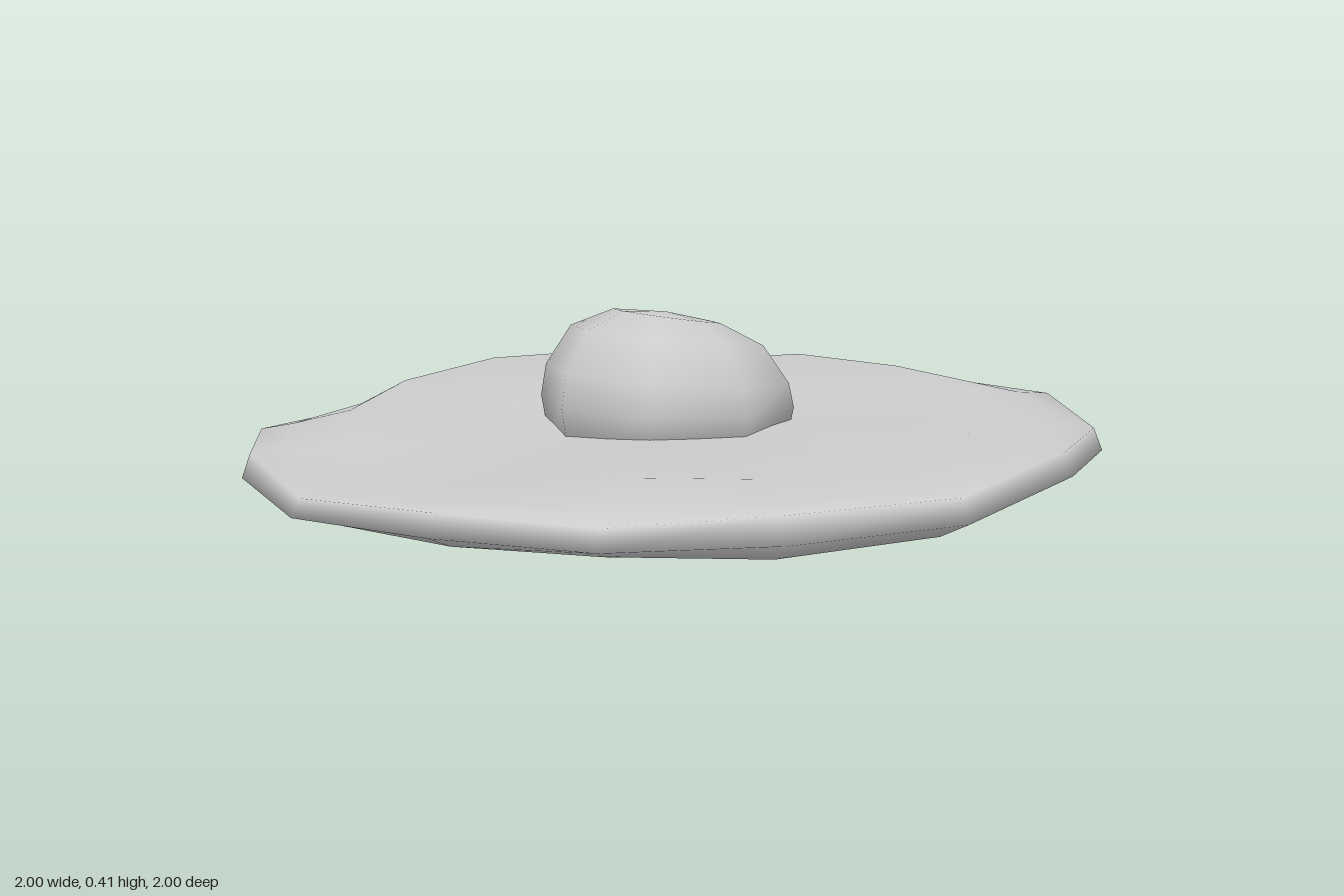
import * as THREE from 'three';

// Builds a smooth closed skin through rings of equal side count, listed from bottom to top,
// with a single point closing each end.
function skin(rings, bottom, top) {
  const n = rings[0].length;
  const points = [bottom, ...rings.flat(), top];
  const at = (r, k) => 1 + r * n + (k % n);
  const index = [];
  for (let k = 0; k < n; k++) {
    index.push(0, at(0, k), at(0, k + 1));
    for (let r = 0; r < rings.length - 1; r++) {
      const a = at(r, k), b = at(r, k + 1), c = at(r + 1, k), d = at(r + 1, k + 1);
      index.push(a, c, b, b, c, d);
    }
    index.push(at(rings.length - 1, k), points.length - 1, at(rings.length - 1, k + 1));
  }
  const geometry = new THREE.BufferGeometry().setFromPoints(points);
  geometry.setIndex(index);
  geometry.computeVertexNormals();
  return geometry;
}

// A sixteen-sided ring, slightly pointed at the four axis ends, with a height for each side
function baseRing(radius, height) {
  return Array.from({ length: 16 }, (_, k) => {
    const a = (k / 16) * Math.PI * 2 - 0.03 * Math.sin((k * Math.PI) / 2);
    const r = radius * (k % 4 ? 0.975 : 1);
    return new THREE.Vector3(r * Math.cos(a), height(k), r * Math.sin(a));
  });
}

// An eight-sided ring tilted up toward -x and +z
function domeRing(radius, y, tilt) {
  return Array.from({ length: 8 }, (_, k) => {
    const a = (k / 8) * Math.PI * 2;
    const x = radius * Math.cos(a), z = radius * Math.sin(a);
    return new THREE.Vector3(x, y + (z - x) * tilt, z);
  });
}

export function createModel() {
  const group = new THREE.Group();
  const material = new THREE.MeshStandardMaterial({ color: 0xcccccc });
  const add = (name, geometry) => {
    const mesh = new THREE.Mesh(geometry, material);
    mesh.name = name;
    group.add(mesh);
  };

  // Wavy, gently dished base: heights of the underside, the rim and the raised band,
  // from +x round through +z
  const under = [0.06, 0.07, 0.04, 0.035, 0.05, 0.04, 0.03, 0.01, 0.01, 0.005, 0.01, 0.03, 0, 0.04, 0.035, 0.07];
  const rim = [0.15, 0.16, 0.13, 0.135, 0.12, 0.12, 0.09, 0.11, 0.10, 0.08, 0.13, 0.14, 0.09, 0.14, 0.14, 0.17];
  const band = [0.17, 0.18, 0.155, 0.16, 0.17, 0.135, 0.11, 0.14, 0.15, 0.18, 0.20, 0.20, 0.17, 0.20, 0.20, 0.19];
  add('eggWhite', skin([
    baseRing(0.7, (k) => 0.025 + under[k] * 0.4),
    baseRing(0.92, (k) => under[k]),
    baseRing(1, (k) => rim[k] * 0.6 + under[k] * 0.4 - 0.015),
    baseRing(0.98, (k) => rim[k]),
    baseRing(0.9, (k) => rim[k] * 0.7 + band[k] * 0.3),
    baseRing(0.76, (k) => band[k]),
    baseRing(0.4, (k) => band[k] * 0.3 + 0.105),
  ], new THREE.Vector3(0, 0.045, 0), new THREE.Vector3(0, 0.145, 0)));

  // Leaning eight-sided dome
  const profile = [[0.28, 0.1], [0.297, 0.19], [0.285, 0.255], [0.225, 0.345], [0.125, 0.39]];
  add('yolk', skin(
    profile.map(([r, y], i) => domeRing(r, y, 0.03 * i)),
    new THREE.Vector3(0, 0.1, 0),
    new THREE.Vector3(0, 0.4, 0),
  ));
  return group;
}
